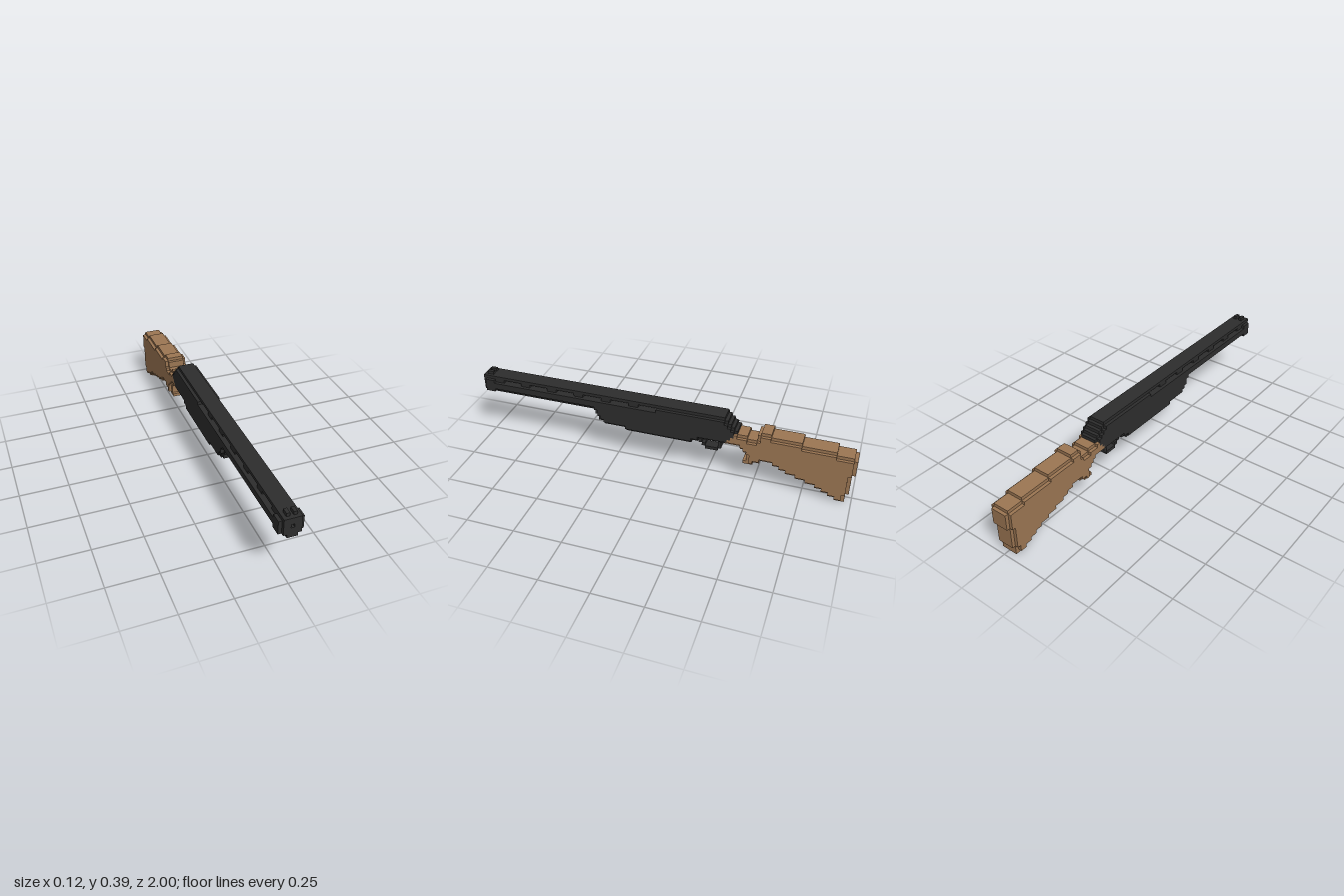
import * as THREE from 'three';

// One grid cell; columns k run from the muzzle (z = 1) to the butt (z = -1)
const U = 2 / 118;
const zAt = (k) => 1 - k * U;

// Side silhouette as runs: [first column, end column, bottom row, top row]
const RUNS = [
  // barrel
  [0, 38, 17, 22],
  // receiver
  [38, 39, 15, 22], [39, 41, 13, 22], [41, 48, 12, 22], [48, 69, 11, 22], [69, 71, 12, 22],
  [71, 79, 13, 22], [79, 80, 13, 21], [80, 81, 13, 20], [81, 82, 13, 19], [82, 83, 13, 18],
  // grip and stock
  [83, 84, 13, 17], [84, 85, 12, 17], [85, 86, 11, 17], [86, 88, 7, 16], [88, 89, 8, 16],
  [89, 90, 8, 18], [90, 93, 9, 19], [93, 94, 9, 18], [94, 96, 8, 18], [96, 98, 7, 18],
  [98, 101, 6, 18], [101, 102, 5, 18], [102, 104, 5, 17], [104, 107, 4, 17], [107, 109, 3, 17],
  [109, 111, 2, 17], [111, 112, 1, 17], [112, 113, 1, 16], [113, 116, 0, 16],
  [116, 117, 3, 16], [117, 118, 10, 15],
];

const core = [];
for (const [a, b, lo, hi] of RUNS) for (let k = a; k < b; k++) core.push({ k, lo, hi });

// Wider middle layer: the silhouette shrunk by one cell
const shell = core.slice(1, -1).map(({ k, lo, hi }) => ({
  k,
  lo: Math.max(lo + 1, core[k - 1].lo, core[k + 1].lo),
  hi: Math.min(hi - 1, core[k - 1].hi, core[k + 1].hi, k < 58 ? 20 : 99),
}));

// Diagonal joint: metal lies above this row, wood below it
const joint = (k) => (k < 79 ? -1 : k < 83 ? k - 65 : 99);
const metalPart = (cols) => cols.map((c) => ({ ...c, lo: Math.max(c.lo, joint(c.k)) })).filter((c) => c.lo < c.hi);
const woodPart = (cols) => cols.map((c) => ({ ...c, hi: Math.min(c.hi, joint(c.k)) })).filter((c) => c.lo < c.hi);

const rectPoints = (k0, k1, lo, hi) =>
  [[k0, lo], [k1, lo], [k1, hi], [k0, hi]].map(([k, r]) => new THREE.Vector2(zAt(k), r * U));

// Stepped side outline extruded across x
function slab(cols, half, holes = []) {
  const pts = [];
  const add = (k, r) => {
    const p = new THREE.Vector2(zAt(k), r * U);
    const n = pts.length;
    if (n && pts[n - 1].distanceTo(p) < 1e-6) return;
    // drop the middle point of straight stretches
    if (n > 1 && ((pts[n - 1].y === p.y && pts[n - 2].y === p.y) || (pts[n - 1].x === p.x && pts[n - 2].x === p.x))) pts.pop();
    pts.push(p);
  };
  for (const c of cols) { add(c.k, c.hi); add(c.k + 1, c.hi); }
  for (const c of [...cols].reverse()) { add(c.k + 1, c.lo); add(c.k, c.lo); }
  const shape = new THREE.Shape(pts);
  for (const h of holes) shape.holes.push(new THREE.Path(rectPoints(...h)));
  const depth = 2 * half * U;
  const g = new THREE.ExtrudeGeometry(shape, { depth, bevelEnabled: false });
  return g.translate(0, 0, -depth / 2).rotateY(-Math.PI / 2);
}

// Box given in cells: columns, rows and x range
function block(k0, k1, lo, hi, x0, x1) {
  const g = new THREE.BoxGeometry((x1 - x0) * U, (hi - lo) * U, (k1 - k0) * U);
  return g.translate(((x0 + x1) / 2) * U, ((lo + hi) / 2) * U, (zAt(k0) + zAt(k1)) / 2);
}

export function createModel() {
  const group = new THREE.Group();
  const metal = new THREE.MeshStandardMaterial({ color: 0x2d2d2d });
  metal.name = 'dark metal';
  const wood = new THREE.MeshStandardMaterial({ color: 0x9b7653 });
  wood.name = 'brown wood';
  const add = (name, geometry, material) => {
    const m = new THREE.Mesh(geometry, material);
    m.name = name;
    group.add(m);
  };

  // Barrel and receiver, with six slots under the top rib
  const slots = [];
  for (let i = 0; i < 6; i++) slots.push([7 + 9 * i, 13 + 9 * i, 20, 21]);
  add('barrelAndReceiverCore', slab(metalPart(core.slice(1)), 2.5, slots), metal);
  add('barrelAndReceiverSides', slab(metalPart(shell), 3.5), metal);
  add('barrelUnderside', block(0, 39, 16, 17, -1.5, 1.5), metal);
  add('muzzleCollar', block(1, 4, 17, 21, -3.5, 3.5), metal);

  // Muzzle face with a square bore
  const face = new THREE.Shape([[-2.5, 17], [2.5, 17], [2.5, 22], [-2.5, 22]].map(([x, y]) => new THREE.Vector2(x * U, y * U)));
  face.holes.push(new THREE.Path([[-0.5, 19], [-0.5, 20], [0.5, 20], [0.5, 19]].map(([x, y]) => new THREE.Vector2(x * U, y * U))));
  add('muzzle', new THREE.ExtrudeGeometry(face, { depth: U, bevelEnabled: false }).translate(0, 0, 1 - U), metal);

  // Front sight posts
  for (const s of [-1, 1]) add(s > 0 ? 'leftSight' : 'rightSight', block(1, 3, 22, 23, s - 0.5, s + 0.5), metal);

  // Trigger guard
  const guard = [[71, 72, 11, 13], [72, 73, 10, 11], [73, 77, 9, 10], [77, 78, 10, 13]];
  for (const g of guard) add('triggerGuard', block(...g, -1.5, 1.5), metal);

  // Stock
  add('stockCore', slab(woodPart(core), 2.5), wood);
  add('stockSides', slab(woodPart(shell), 3.5), wood);
  add('gripToe', block(85, 86, 7, 8, -2.5, 2.5), wood);

  return group;
}
